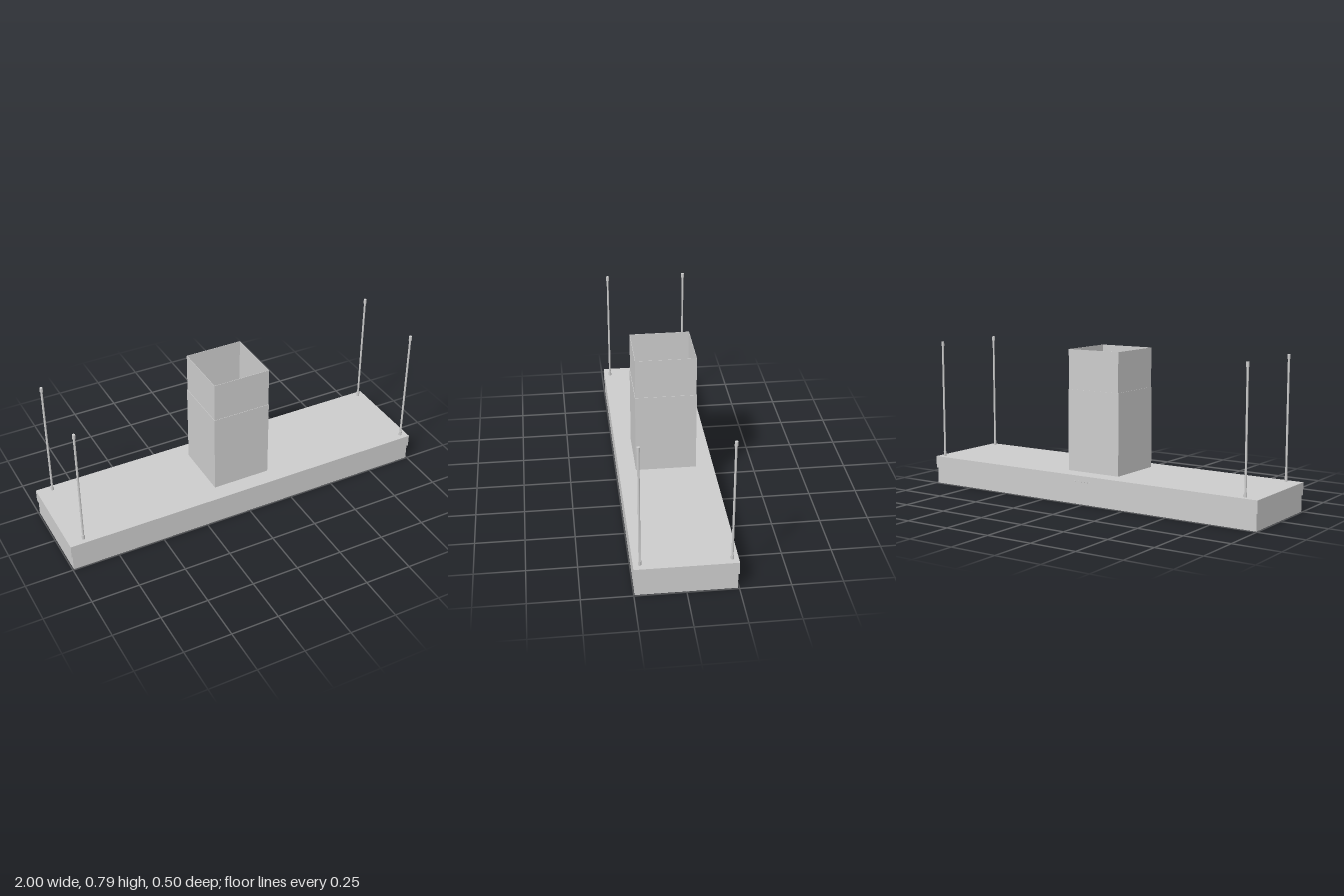
import * as THREE from 'three';

const grey = new THREE.MeshStandardMaterial({ color: 0xcccccc, side: THREE.DoubleSide });

export function createModel() {
  const model = new THREE.Group();

  const add = (name, geometry, x = 0, y = 0, z = 0, parent = model) => {
    const mesh = new THREE.Mesh(geometry, grey);
    mesh.name = name;
    mesh.position.set(x, y, z);
    parent.add(mesh);
    return mesh;
  };
  // Box given by its lower and upper limits
  const box = (name, [x0, x1], [y0, y1], [z0, z1]) =>
    add(name, new THREE.BoxGeometry(x1 - x0, y1 - y0, z1 - z0),
      (x0 + x1) / 2, (y0 + y1) / 2, (z0 + z1) / 2);
  // Upright rectangular sleeve, open at both ends
  const sleeve = (name, [x0, x1], [y0, y1], [z0, z1], wall) => {
    const rect = (Type, t) => new Type([
      new THREE.Vector2(x0 + t, -z1 + t), new THREE.Vector2(x1 - t, -z1 + t),
      new THREE.Vector2(x1 - t, -z0 - t), new THREE.Vector2(x0 + t, -z0 - t)]);
    const shape = rect(THREE.Shape, 0);
    shape.holes.push(rect(THREE.Path, wall));
    const geometry = new THREE.ExtrudeGeometry(shape, { depth: y1 - y0, bevelEnabled: false });
    geometry.rotateX(-Math.PI / 2);
    return add(name, geometry, 0, y0, 0);
  };

  // Canopy: wide upper slab over a slightly smaller open skirt
  box('canopyTop', [-1, 1], [0.086, 0.151], [-0.248, 0.25]);
  sleeve('canopySkirt', [-0.994, 0.994], [0, 0.087], [-0.243, 0.246], 0.004);

  // Underside: two filter panels with a narrow gap, and a slim light strip beside each
  for (const side of [-1, 1]) {
    const span = (a, b) => (side > 0 ? [a, b] : [-b, -a]);
    box('filterPanel', span(0.004, 0.92), [0.081, 0.087], [-0.19, 0.19]);
    box('lightStrip', span(0.07, 0.87), [0.083, 0.087], [0.212, 0.22]);
  }

  // Telescoping chimney, open at the top
  sleeve('chimneyLower', [-0.16, 0.152], [0.15, 0.58], [-0.156, 0.16], 0.003);
  sleeve('chimneyUpper', [-0.158, 0.15], [0.5, 0.788], [-0.154, 0.158], 0.002);

  // Hanging rods with a ferrule at each end
  for (const x of [-0.92, 0.963]) for (const z of [-0.217, 0.218]) {
    const rod = new THREE.Group();
    rod.name = 'hangingRod';
    rod.position.set(x, 0, z);
    add('rod', new THREE.CylinderGeometry(0.0055, 0.0055, 0.63, 16), 0, 0.47, 0, rod);
    for (const y of [0.163, 0.778])
      add('ferrule', new THREE.CylinderGeometry(0.008, 0.008, 0.024, 16), 0, y, 0, rod);
    model.add(rod);
  }

  // Row of control buttons on the back edge
  for (let i = 0; i < 6; i++) {
    const button = add('controlButton', new THREE.CylinderGeometry(0.005, 0.005, 0.004, 16),
      -0.045 + i * 0.018, 0.12, -0.249);
    button.rotation.x = Math.PI / 2;
  }

  return model;
}
